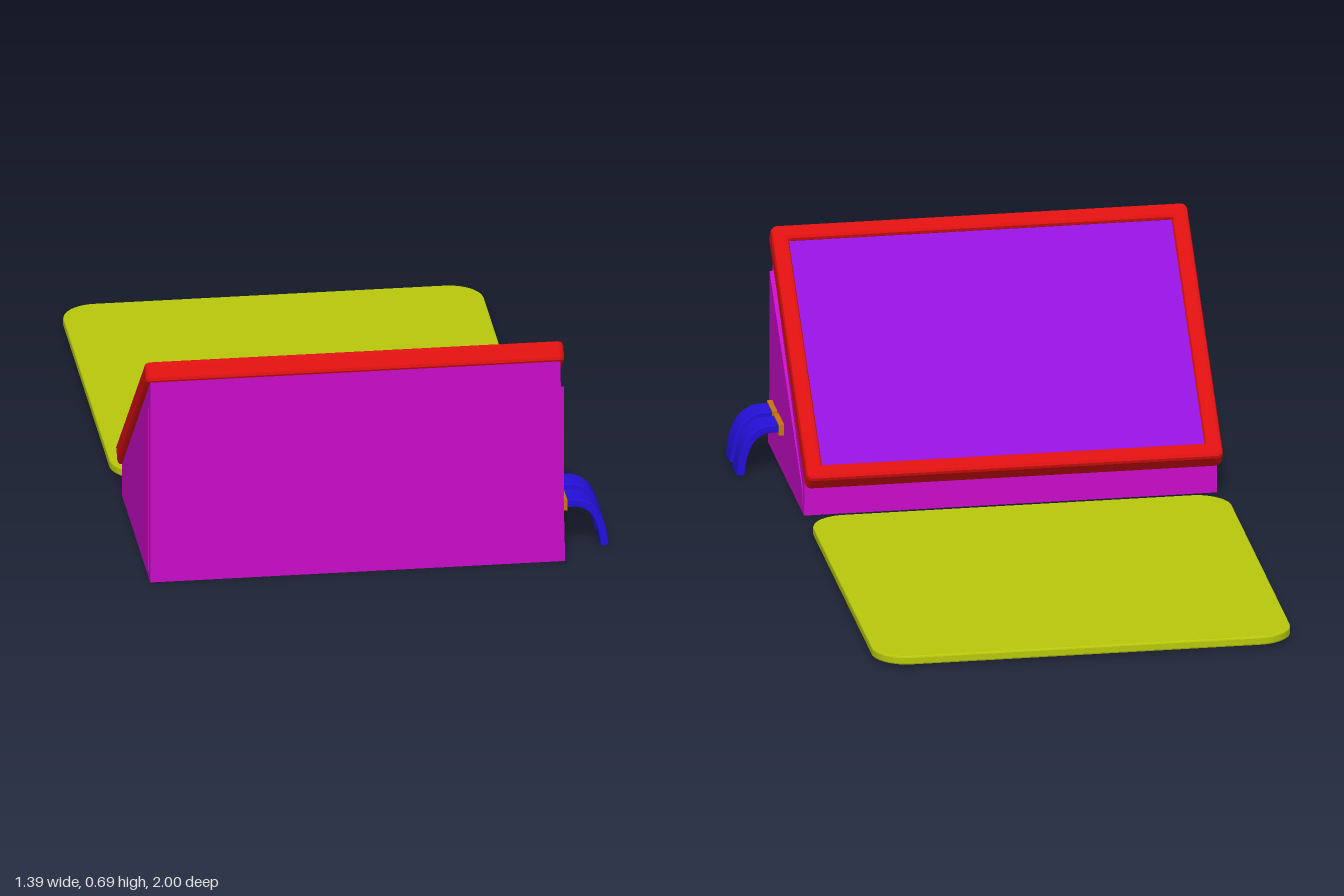
import * as THREE from 'three';

const CX = -0.07; // middle of the case, screen frame and pad

function addMesh(parent, name, geometry, color) {
  const mesh = new THREE.Mesh(geometry, new THREE.MeshStandardMaterial({ color }));
  mesh.name = name;
  parent.add(mesh);
  return mesh;
}

function polygon(points) {
  return new THREE.Shape(points.map(([x, y]) => new THREE.Vector2(x, y)));
}

function roundedRect(w, h, r) {
  const s = new THREE.Shape(), x = w / 2, y = h / 2, q = Math.PI / 2;
  s.absarc(x - r, y - r, r, 0, q);
  s.absarc(-x + r, y - r, r, q, 2 * q);
  s.absarc(-x + r, -y + r, r, 2 * q, 3 * q);
  s.absarc(x - r, -y + r, r, 3 * q, 4 * q);
  s.closePath();
  return s;
}

// Extrudes a side profile given as (-z, y) so that it spans x0..x1
function sideExtrude(points, x0, x1) {
  const geo = new THREE.ExtrudeGeometry(polygon(points), { depth: x1 - x0, bevelEnabled: false });
  geo.rotateY(Math.PI / 2).translate(x0, 0, 0);
  // profile x now runs towards -z
  return geo;
}

export function createModel() {
  const model = new THREE.Group();

  // Wedge case, its cable side leaning in slightly towards the top
  const caseGeo = sideExtrude([[-1, 0], [-0.35, 0], [-0.35, 0.1], [-1, 0.645]], -0.683, 0.555);
  const pos = caseGeo.attributes.position;
  for (let i = 0; i < pos.count; i++) {
    if (pos.getX(i) > 0) pos.setX(i, 0.555 - 0.023 * pos.getY(i));
  }
  caseGeo.computeVertexNormals();
  addMesh(model, 'wedgeCase', caseGeo, 0xc80cc8);

  // Slightly raised cheek panels on both sides
  const cheek = [[-0.968, 0.025], [-0.38, 0.025], [-0.38, 0.075], [-0.968, 0.55]];
  addMesh(model, 'leftCheekPanel', sideExtrude(cheek, 0.53, 0.556), 0xc80cc8);
  addMesh(model, 'rightCheekPanel', sideExtrude(cheek, -0.686, -0.67), 0xc80cc8);

  // Tilted display: bevelled frame around a recessed screen
  const display = new THREE.Group();
  display.name = 'display';
  display.position.set(CX, 0.392, 0.645);
  display.rotation.x = -(Math.PI / 2 + 0.695);
  model.add(display);

  const bevel = 0.012, thick = 0.064, w = 1.25, h = 0.876;
  const frame = roundedRect(w - 2 * bevel, h - 2 * bevel, 0.008);
  const a = 0.574 + bevel, b = 0.387 + bevel;
  frame.holes.push(new THREE.Path(
    [[-a, -b], [-a, b], [a, b], [a, -b]].map(([x, y]) => new THREE.Vector2(x, y))));
  const frameGeo = new THREE.ExtrudeGeometry(frame, {
    depth: thick - 2 * bevel, bevelThickness: bevel, bevelSize: bevel, bevelSegments: 2, curveSegments: 3,
  });
  frameGeo.translate(0, 0, -thick / 2 + bevel);
  addMesh(display, 'screenFrame', frameGeo, 0xdc1010);
  const screen = addMesh(display, 'screen', new THREE.BoxGeometry(1.18, 0.81, 0.04), 0x9212dc);
  screen.position.z = -0.002;

  // Flat pad with rounded corners lying behind the case
  const padBevel = 0.005;
  const padGeo = new THREE.ExtrudeGeometry(roundedRect(1.255 - 2 * padBevel, 1.255 - 2 * padBevel, 0.1), {
    depth: 0.017, bevelThickness: padBevel, bevelSize: padBevel, bevelSegments: 2, curveSegments: 10,
  });
  padGeo.rotateX(-Math.PI / 2).translate(CX + 0.002, 0.01, -0.372);
  addMesh(model, 'pad', padGeo, 0xb8c80c);

  // Two ribbon cables drooping out of flat sockets
  const path = new THREE.SplineCurve([
    [0.55, 0.144], [0.61, 0.143], [0.65, 0.118], [0.674, 0.07], [0.685, 0.006],
  ].map(([x, y]) => new THREE.Vector2(x, y)));
  const upper = [], lower = [], half = 0.01, steps = 16;
  for (let i = 0; i <= steps; i++) {
    const p = path.getPoint(i / steps), t = path.getTangent(i / steps);
    upper.push([p.x - t.y * half, p.y + t.x * half]);
    lower.unshift([p.x + t.y * half, p.y - t.x * half]);
  }
  const ribbon = polygon([...upper, ...lower]);
  [0.87, 0.753].forEach((z, i) => {
    const geo = new THREE.ExtrudeGeometry(ribbon, {
      depth: 0.076, bevelThickness: 0.004, bevelSize: 0.002, bevelSegments: 1,
    });
    geo.translate(0, 0, z - 0.038);
    addMesh(model, `ribbonCable${i + 1}`, geo, 0x2410d8);
    const socket = addMesh(model, `cableSocket${i + 1}`, new THREE.BoxGeometry(0.03, 0.034, 0.1), 0xc87410);
    socket.position.set(0.557, 0.144, z);
  });

  return model;
}
